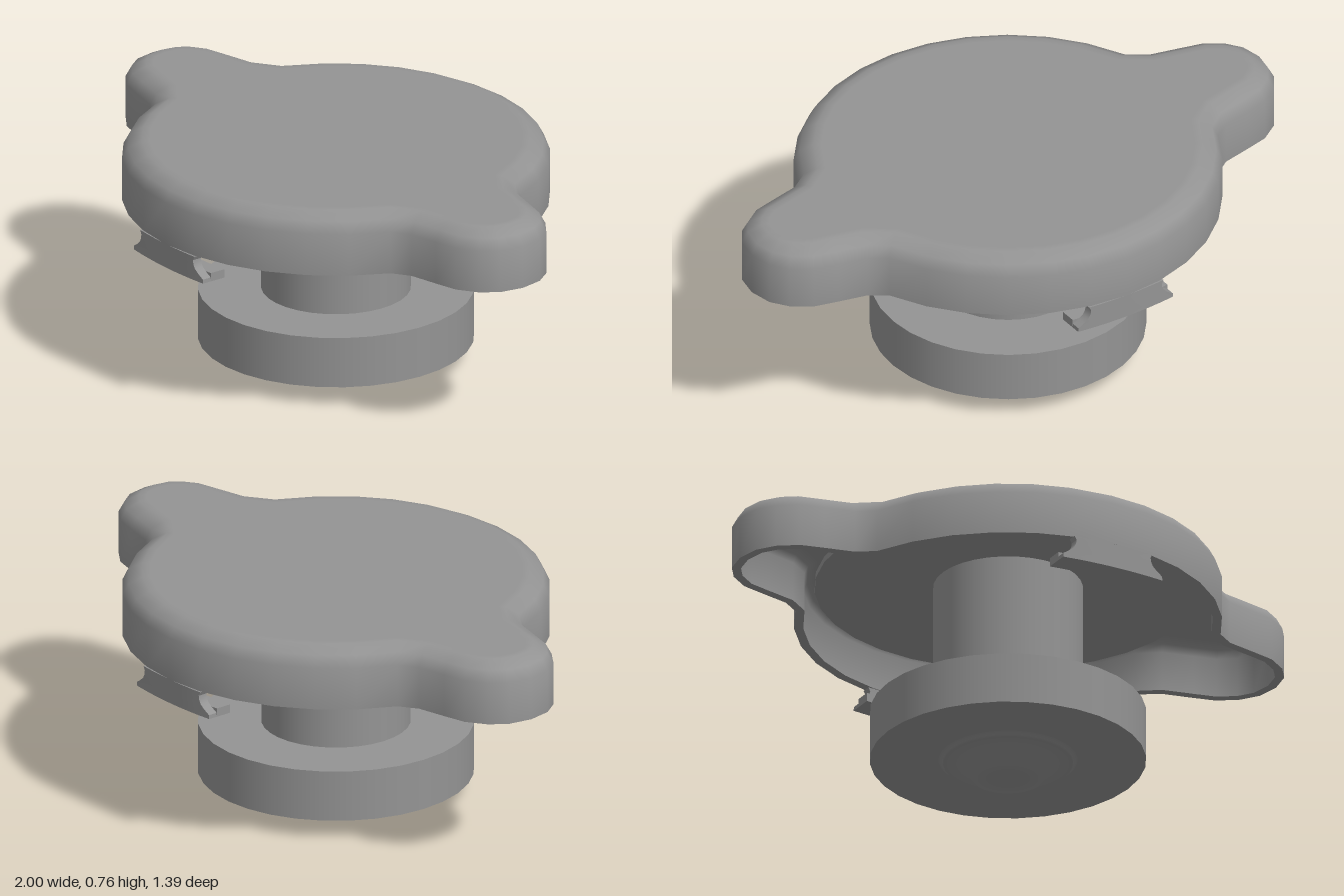
import * as THREE from 'three';
import { toCreasedNormals } from 'three/addons/utils/BufferGeometryUtils.js';

// Quarter of the cap outline: ear tip, concave fillet, then the round body
function capOutline() {
  const quarter = [[1, 0], [0.985, 0.08], [0.945, 0.137], [0.88, 0.182], [0.8, 0.202], [0.7, 0.225]];
  for (let i = 0; i <= 6; i++) {
    const a = THREE.MathUtils.degToRad(22.5 + 11.25 * i);
    quarter.push([0.694 * Math.cos(a), 0.694 * Math.sin(a)]);
  }
  const half = [...quarter, ...quarter.slice(0, -1).reverse().map(([x, z]) => [-x, z])];
  return [...half, ...half.slice(1, -1).reverse().map(([x, z]) => [x, -z])];
}

// Hollow shell: sweep a profile of [inset, height] round the outline; null inset = centre
function capShell() {
  const pts = capOutline(), n = pts.length;
  const ring = ([inset, y]) => pts.map(([x, z], i) => {
    if (inset === null) return [0, y, 0];
    const p = pts[(i + n - 1) % n], q = pts[(i + 1) % n];
    const dx = q[0] - p[0], dz = q[1] - p[1], l = Math.hypot(dx, dz);
    return [x - (dz / l) * inset, y, z + (dx / l) * inset];
  });
  const rings = [
    [null, 0.73], [0.09, 0.73], [0.07, 0.73], [0.042, 0.715], [0.03, 0.69], [0.03, 0.556],
    [0, 0.556], [0, 0.7], [0.02, 0.737], [0.065, 0.76], [0.09, 0.76], [null, 0.76],
  ].map(ring);
  const pos = [];
  for (let k = 0; k < rings.length - 1; k++) {
    for (let i = 0; i < n; i++) {
      const j = (i + 1) % n, lo = rings[k], hi = rings[k + 1];
      if (k > 0) pos.push(...lo[i], ...hi[i], ...lo[j]);
      if (k < rings.length - 2) pos.push(...lo[j], ...hi[i], ...hi[j]);
    }
  }
  const g = new THREE.BufferGeometry();
  g.setAttribute('position', new THREE.Float32BufferAttribute(pos, 3));
  return toCreasedNormals(g, 0.8);
}

// Plate following the rim: half widths are listed from bottom to top
function curvedPlate(y0, y1, z0, z1, halfWidths) {
  const rows = halfWidths.length - 1;
  const g = new THREE.BoxGeometry(2, 1, z1 - z0, 8, rows, 1);
  const p = g.attributes.position;
  for (let i = 0; i < p.count; i++) {
    const t = p.getY(i) + 0.5;
    const x = p.getX(i) * halfWidths[Math.round(t * rows)];
    p.setXYZ(i, x, y0 + t * (y1 - y0), p.getZ(i) + (z0 + z1) / 2 - 0.35 * x * x);
  }
  return toCreasedNormals(g, 0.5);
}

export function createModel() {
  const group = new THREE.Group();
  const grey = new THREE.MeshStandardMaterial({ color: 0x949494 });
  grey.name = 'grey metal';

  const add = (name, geometry, parent = group) => {
    const mesh = new THREE.Mesh(geometry, grey);
    mesh.name = name;
    parent.add(mesh);
    return mesh;
  };
  const disc = (name, r, y0, y1) => {
    add(name, new THREE.CylinderGeometry(r, r, y1 - y0, 32)).position.y = (y0 + y1) / 2;
  };

  add('capShell', capShell());
  disc('innerPlate', 0.627, 0.68, 0.7);
  disc('stem', 0.243, 0.238, 0.68);
  disc('sealDisc', 0.448, 0.066, 0.238);

  // Rivet button with a thin flange under the seal
  const rivet = [[0, 0], [0.06, 0], [0.115, 0], [0.152, 0.052], [0.21, 0.052], [0.212, 0.06], [0.228, 0.067]];
  add('rivet', new THREE.LatheGeometry(rivet.map(([x, y]) => new THREE.Vector2(x, y)), 32));

  // Locking tabs at front and back: waisted wall plus an inward lip
  const waist = [0.185, 0.184, 0.163, 0.147, 0.14, 0.138, 0.145];
  for (const [name, turn] of [['frontTab', 0], ['backTab', Math.PI]]) {
    const tab = new THREE.Group();
    tab.name = name;
    tab.rotation.y = turn;
    add('tabWall', curvedPlate(0.474, 0.556, 0.661, 0.693, waist), tab);
    add('tabLip', curvedPlate(0.474, 0.503, 0.606, 0.661, [0.185, 0.185]), tab);
    group.add(tab);
  }
  return group;
}
